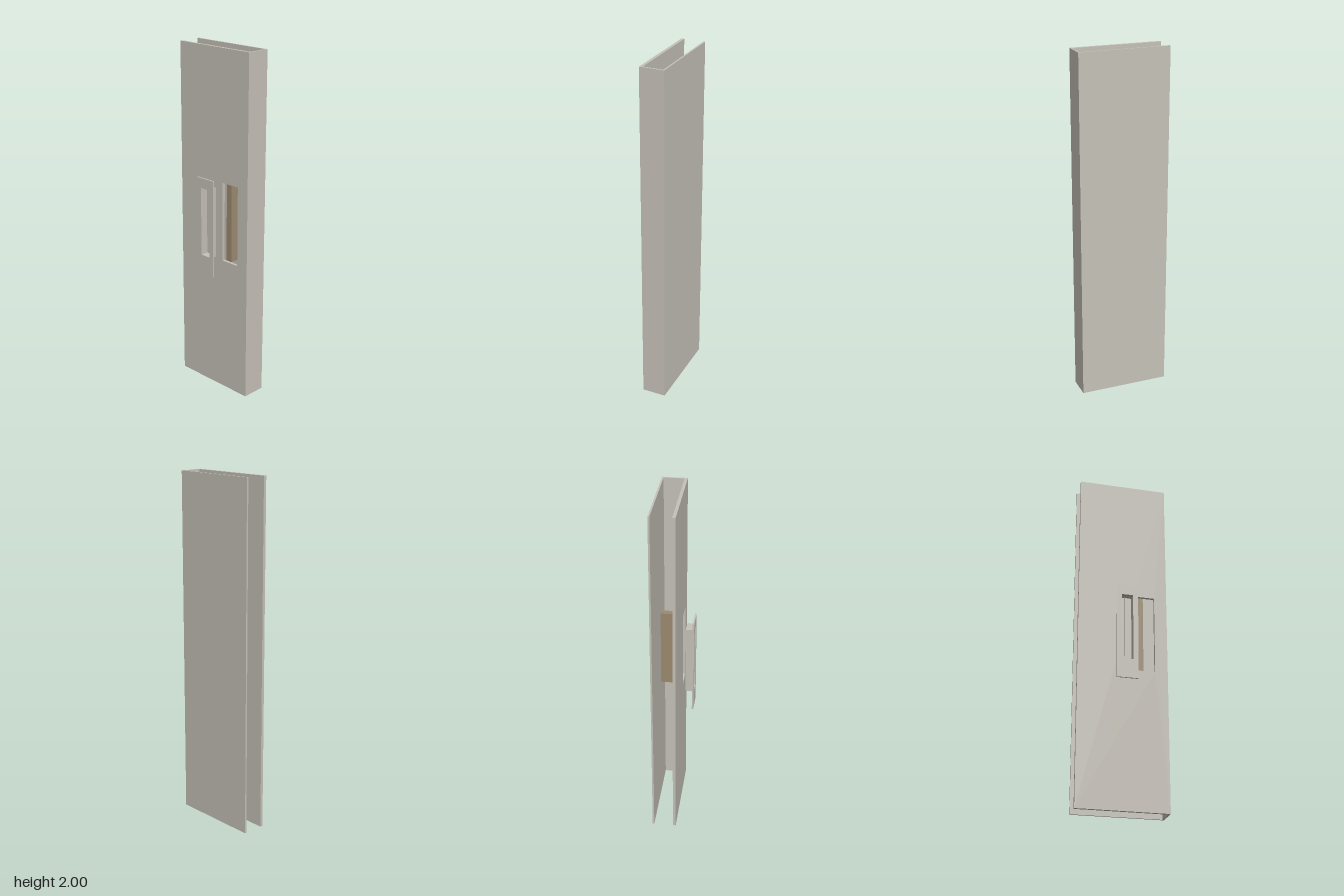
import * as THREE from 'three';

const grey = new THREE.MeshStandardMaterial({ color: 0xc6c2b9 });
grey.name = 'warm grey';
const wood = new THREE.MeshStandardMaterial({ color: 0x9c8a70 });
wood.name = 'brown wood';

// Box given by its low and high limits on each axis
function box(name, material, [x0, x1], [y0, y1], [z0, z1]) {
  const mesh = new THREE.Mesh(new THREE.BoxGeometry(x1 - x0, y1 - y0, z1 - z0), material);
  mesh.position.set((x0 + x1) / 2, (y0 + y1) / 2, (z0 + z1) / 2);
  mesh.name = name;
  return mesh;
}

function rectangle(target, [x0, x1], [y0, y1]) {
  target.moveTo(x0, y0).lineTo(x1, y0).lineTo(x1, y1).lineTo(x0, y1).closePath();
  return target;
}

// Upright plate with one rectangular cut-out
function cutPlate(name, xs, ys, holeX, holeY, [z0, z1]) {
  const shape = rectangle(new THREE.Shape(), xs, ys);
  shape.holes.push(rectangle(new THREE.Path(), holeX, holeY));
  const geometry = new THREE.ExtrudeGeometry(shape, { depth: z1 - z0, bevelEnabled: false });
  const mesh = new THREE.Mesh(geometry, grey);
  mesh.position.z = z0;
  mesh.name = name;
  return mesh;
}

export function createModel() {
  const model = new THREE.Group();
  model.name = 'slidingDoorPanel';

  // Channel-shaped casing, open on one edge and at both ends
  const width = [-0.258, 0.258], height = [0, 2];
  model.add(
    cutPlate('frontPanel', width, height, [0.069, 0.185], [0.8, 1.26], [0.014, 0.031]),
    box('backPanel', grey, width, height, [-0.108, -0.098]),
    box('edgePanel', grey, [0.248, 0.258], height, [-0.098, 0.014]),
    box('spacerBlock', wood, [0.085, 0.122], [0.8, 1.26], [-0.098, 0.014]),
  );

  // Recessed pull handle standing off the front panel
  const handle = new THREE.Group();
  handle.name = 'pullHandle';
  const outerX = [-0.027, 0.045], outerY = [0.825, 1.233];
  const innerX = [-0.023, 0.041], innerY = [0.831, 1.227];
  handle.add(cutPlate('flange', [-0.052, 0.07], [0.72, 1.285], innerX, innerY, [0.098, 0.107]));

  // Cup walls and floor, with softened rear corners
  handle.add(cutPlate('cupWall', outerX, outerY, innerX, innerY, [0.06, 0.098]));
  handle.add(box('cupFloor', grey, [-0.024, 0.042], [0.828, 1.23], [0.057, 0.061]));
  handle.add(box('cupRib', grey, [0, 0.016], innerY, [0.061, 0.066]));
  model.add(handle);

  return model;
}
